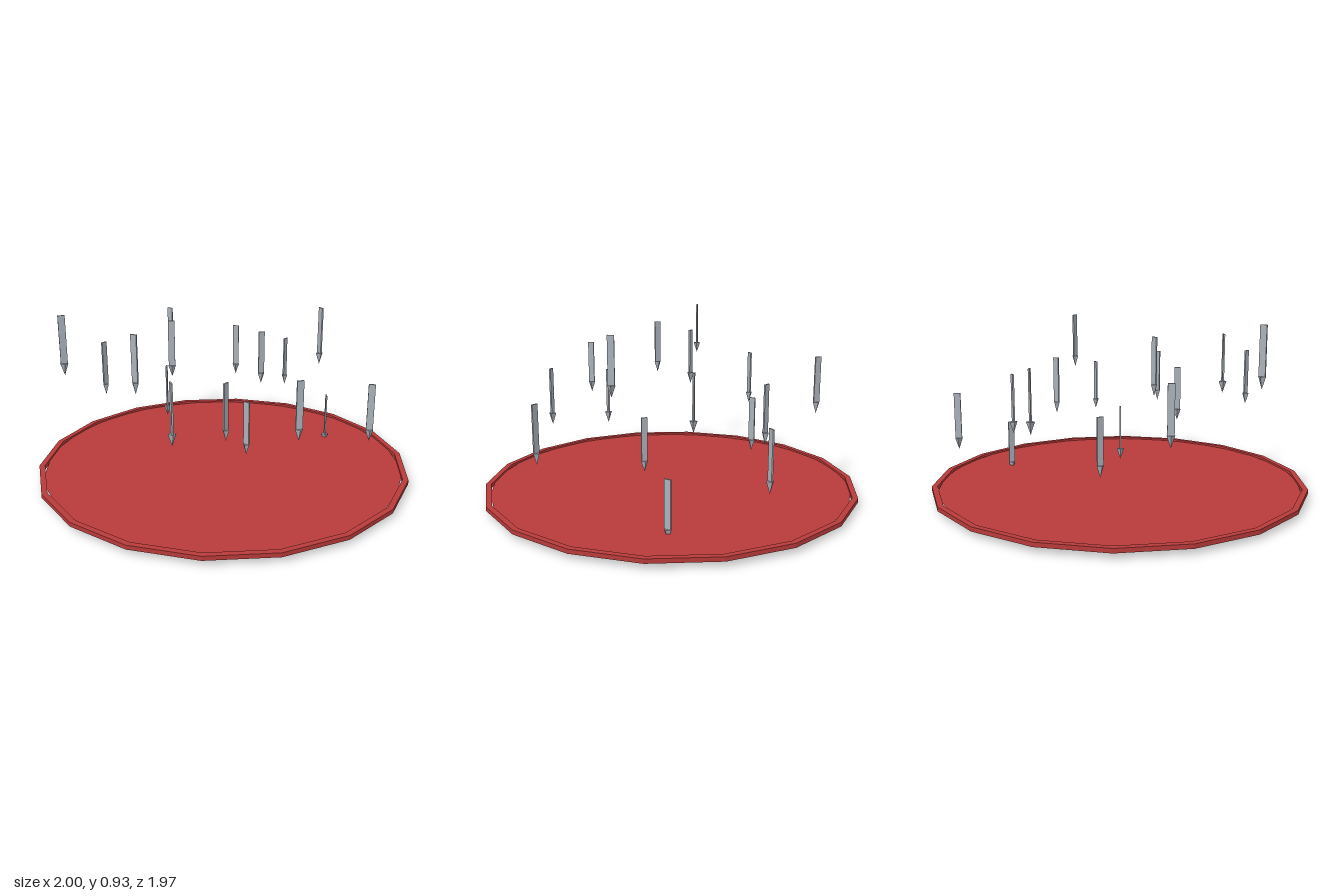
import * as THREE from 'three';

const red = new THREE.MeshStandardMaterial({ color: 0xb83a3a, side: THREE.DoubleSide, flatShading: true });
red.name = 'red';
const steel = new THREE.MeshStandardMaterial({ color: 0xa9b1b9, flatShading: true });
steel.name = 'steel';

// corners of a regular polygon
function polygon(radius, sides) {
  return Array.from({ length: sides }, (_, i) => {
    const a = (i / sides) * Math.PI * 2;
    return new THREE.Vector2(Math.cos(a) * radius, Math.sin(a) * radius);
  });
}

// x, z, top height, yaw in degrees
const spikes = [
  [-0.665, -0.38, 0.75, 0], [-0.62, 0.25, 0.68, 90], [-0.475, 0.675, 0.93, 55],
  [-0.455, -0.08, 0.49, -58], [-0.275, -0.525, 0.665, 25], [-0.2, 0.18, 0.845, 38],
  [-0.145, 0.53, 0.855, 5], [-0.115, -0.845, 0.54, 90], [0.025, -0.34, 0.71, 55],
  [0.153, 0, 0.42, 0], [0.217, 0.7, 0.73, -38], [0.243, 0.32, 0.63, 90],
  [0.293, -0.64, 0.30, -56], [0.425, -0.273, 0.91, -30], [0.59, 0.215, 0.68, 50],
  [0.775, -0.175, 0.59, 30],
];

export function createModel() {
  const model = new THREE.Group();

  // eighteen-sided rim
  const outline = new THREE.Shape(polygon(1, 18));
  outline.holes.push(new THREE.Path(polygon(0.97, 18)));
  const rimGeometry = new THREE.ExtrudeGeometry(outline, { depth: 0.022, bevelEnabled: false });
  rimGeometry.rotateX(-Math.PI / 2);
  const rim = new THREE.Mesh(rimGeometry, red);
  rim.name = 'rim';
  rim.position.y = 0.028;
  model.add(rim);

  // flat disc inside the rim
  const disc = new THREE.Mesh(new THREE.CircleGeometry(0.962, 32).rotateX(-Math.PI / 2), red);
  disc.name = 'disc';
  disc.position.y = 0.04;
  model.add(disc);

  // falling spikes: thin blade with a four-sided point below
  const bladeGeometry = new THREE.BoxGeometry(0.034, 0.24, 0.008);
  const pointGeometry = new THREE.ConeGeometry(0.02, 0.06, 4).rotateX(Math.PI);
  for (const [x, z, top, yaw] of spikes) {
    const spike = new THREE.Group();
    spike.name = 'spike';
    const blade = new THREE.Mesh(bladeGeometry, steel);
    blade.name = 'blade';
    blade.position.y = -0.12;
    const point = new THREE.Mesh(pointGeometry, steel);
    point.name = 'point';
    point.position.y = -0.27;
    spike.add(blade, point);
    spike.position.set(x, top, z);
    spike.rotation.y = THREE.MathUtils.degToRad(yaw);
    model.add(spike);
  }
  return model;
}
